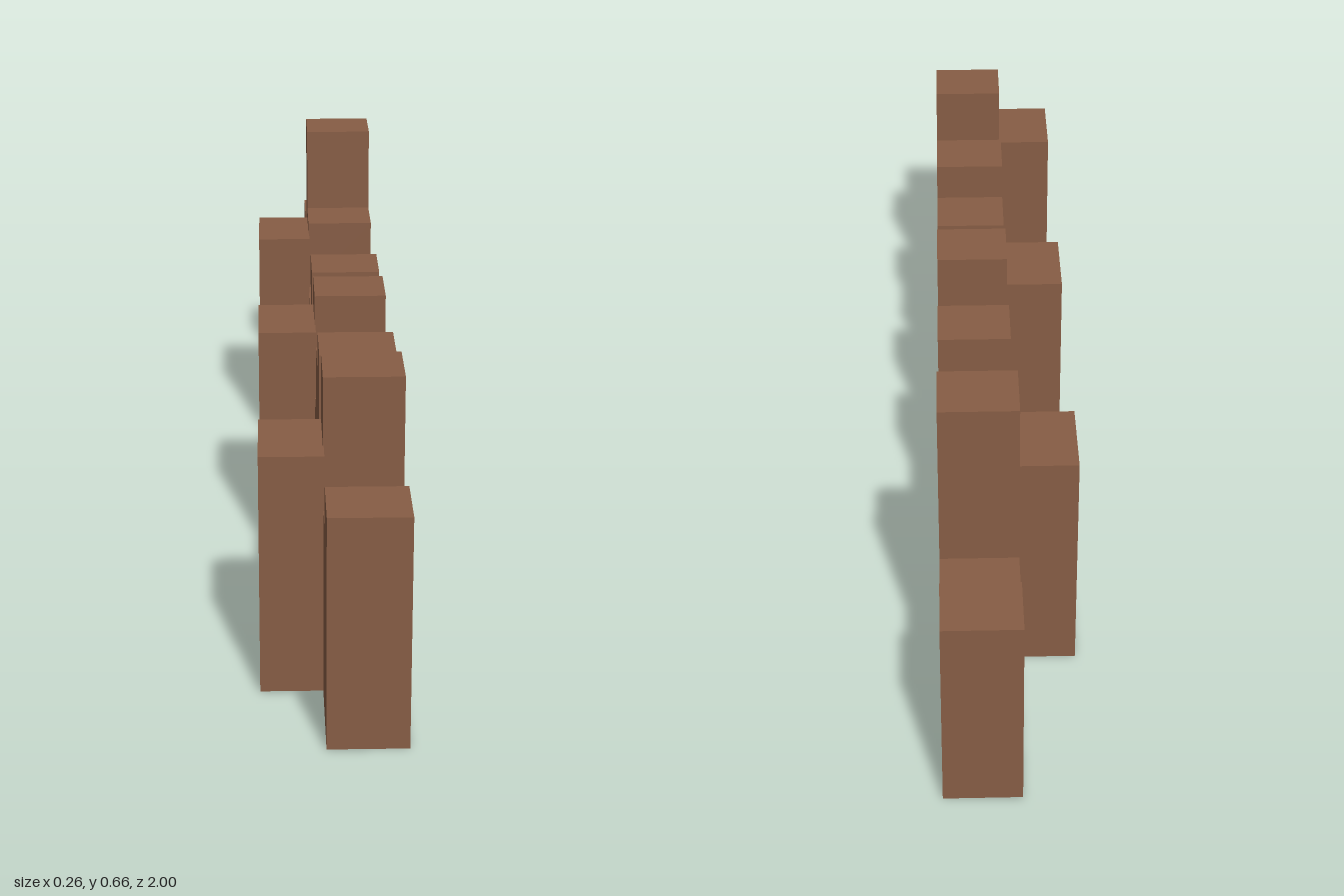
import * as THREE from 'three';

export function createModel() {
  const model = new THREE.Group();
  model.name = 'ruinedWall';
  const brown = new THREE.MeshStandardMaterial({ color: 0x875d45 });
  brown.name = 'brown';

  // Wall: a broken skyline of equal-width columns, listed from front to back
  const heights = [
    0.433, 0.353, 0.583, 0.32, 0.53, 0.453, 0.315, 0.517,
    0.303, 0.485, 0.32, 0.327, 0.48, 0.663, 0.343, 0.39,
  ];
  const step = 2 / heights.length;
  const wallMin = -0.015, wallMax = 0.128;
  const outline = new THREE.Shape();
  outline.moveTo(1, 0);
  for (let i = heights.length - 1; i >= 0; i--) {
    outline.lineTo(-1 + (i + 1) * step, heights[i]);
    outline.lineTo(-1 + i * step, heights[i]);
  }
  outline.lineTo(-1, 0);
  outline.closePath();
  const wallGeometry = new THREE.ExtrudeGeometry(outline, {
    depth: wallMax - wallMin,
    bevelEnabled: false,
  });
  wallGeometry.rotateY(Math.PI / 2);
  wallGeometry.translate(wallMin, 0, 0);
  const wall = new THREE.Mesh(wallGeometry, brown);
  wall.name = 'wall';
  model.add(wall);

  // Buttresses: three equal piers along the right side
  const pierHeight = 0.456, pierMin = -0.128, pierMax = -0.0135;
  [0.713, 0.085, -0.543].forEach((z, i) => {
    const pier = new THREE.Mesh(
      new THREE.BoxGeometry(pierMax - pierMin, pierHeight, 0.171), brown);
    pier.position.set((pierMin + pierMax) / 2, pierHeight / 2, z);
    pier.name = `buttress${i + 1}`;
    model.add(pier);
  });

  return model;
}
